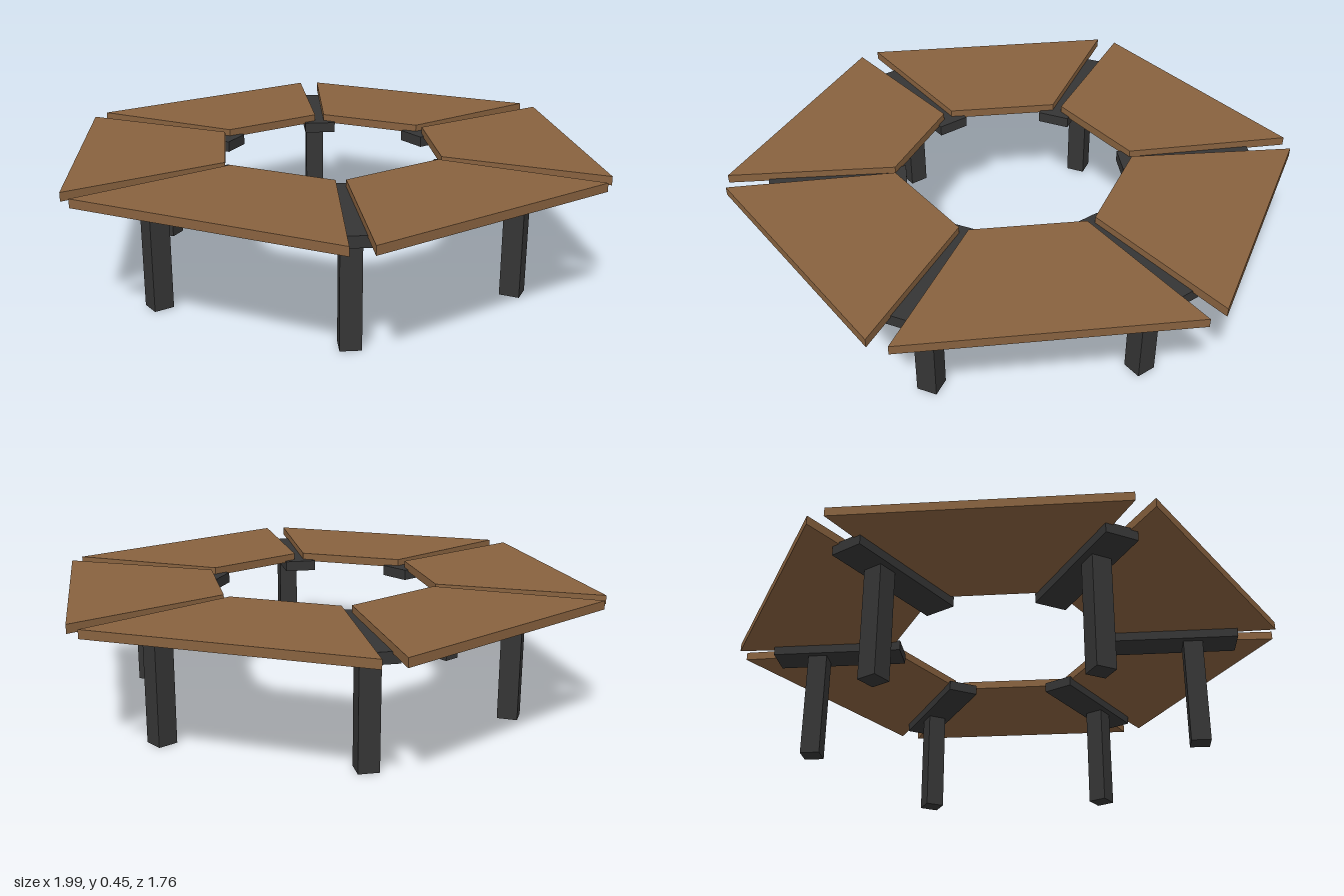
import * as THREE from 'three';

export function createModel() {
  const model = new THREE.Group();
  model.name = 'hexagonalBench';

  const wood = new THREE.MeshStandardMaterial({ color: 0x88623f });
  wood.name = 'brown wood';
  const metal = new THREE.MeshStandardMaterial({ color: 0x353535 });
  metal.name = 'dark metal';

  // Trapezoid seat board: wide edge outside, narrow edge inside
  const outline = new THREE.Shape([
    new THREE.Vector2(-0.195, 0.372),
    new THREE.Vector2(0.195, 0.372),
    new THREE.Vector2(0.467, 0.882),
    new THREE.Vector2(-0.467, 0.882),
  ]);
  const seatGeometry = new THREE.ExtrudeGeometry(outline, { depth: 0.03, bevelEnabled: false });
  seatGeometry.rotateX(Math.PI / 2).translate(0, 0.452, 0);

  // Radial beam under each gap, and the square post that carries it
  const beamGeometry = new THREE.BoxGeometry(0.477, 0.038, 0.116).translate(0.62, 0.409, 0);
  const postGeometry = new THREE.BoxGeometry(0.07, 0.395, 0.07).translate(0.698, 0.1975, 0);

  for (let i = 0; i < 6; i++) {
    const angle = (i * Math.PI) / 3;

    const seat = new THREE.Mesh(seatGeometry, wood);
    seat.name = 'seatBoard';
    seat.rotation.y = angle;
    model.add(seat);

    const support = new THREE.Group();
    support.name = 'support';
    const beam = new THREE.Mesh(beamGeometry, metal);
    beam.name = 'beam';
    const post = new THREE.Mesh(postGeometry, metal);
    post.name = 'leg';
    support.add(beam, post);
    support.rotation.y = angle;
    model.add(support);
  }

  return model;
}
